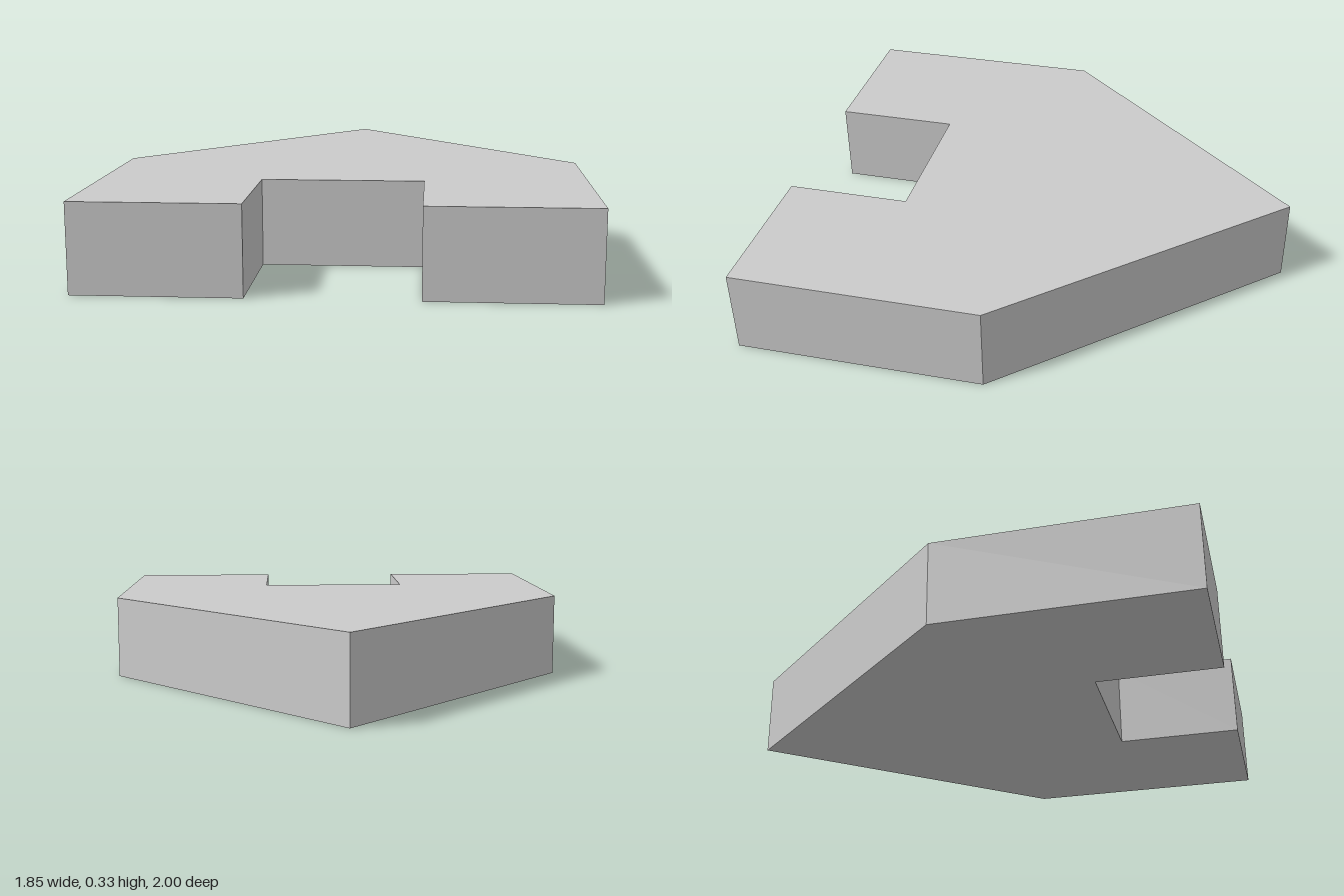
import * as THREE from 'three';

export function createModel() {
  const group = new THREE.Group();
  const height = 0.333;

  // Right half of the plan as [x, z], from the roof point to the doorway
  const half = [[0.925, 0.027], [0.925, 1], [0.308, 1], [0.308, 0.51]];
  const mirrored = half.map(([x, z]) => [-x, z]).reverse();
  const outline = [[0, -1], ...half, ...mirrored].map(([x, z]) => new THREE.Vector2(x, -z));

  // House-shaped slab lying flat, with an open doorway at the front
  const geometry = new THREE.ExtrudeGeometry(new THREE.Shape(outline), { depth: height, bevelEnabled: false });
  geometry.rotateX(-Math.PI / 2);

  const slab = new THREE.Mesh(geometry, new THREE.MeshStandardMaterial({ color: 0xcccccc, flatShading: true }));
  slab.name = 'houseSlab';
  group.add(slab);
  return group;
}
